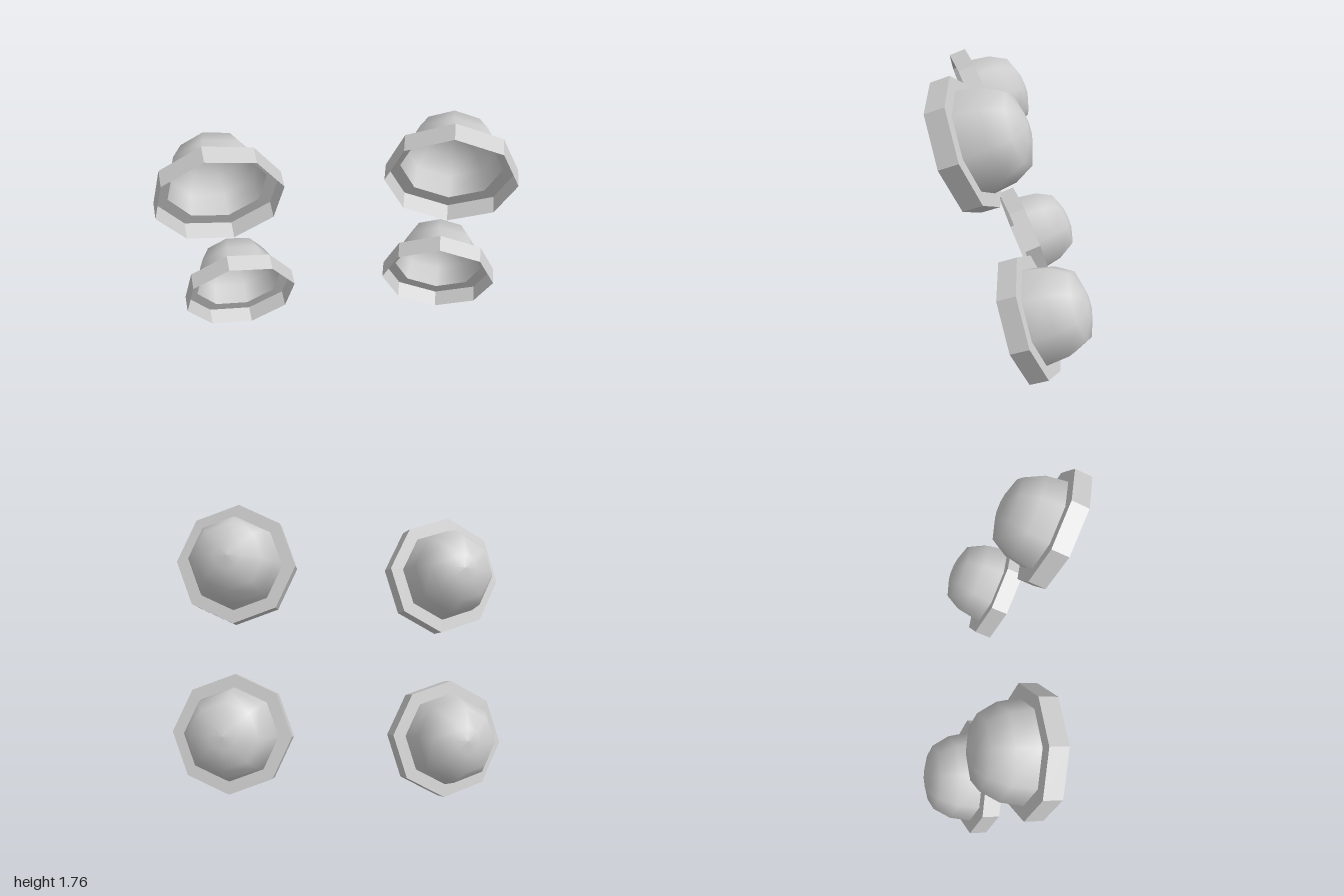
import * as THREE from 'three';

const SIDES = 8;
const HALF = 0.054; // half the depth of the rim

// Revolve [radius, depth] points round the z axis, depth growing towards the back
function revolve(points) {
  const profile = points.map(([r, d]) => new THREE.Vector2(r, d));
  return new THREE.LatheGeometry(profile, SIDES).rotateX(-Math.PI / 2);
}

export function createModel() {
  const model = new THREE.Group();
  model.name = 'lampCups';

  const smooth = new THREE.MeshStandardMaterial({ color: 0xcccccc, side: THREE.DoubleSide });
  const faceted = new THREE.MeshStandardMaterial({ color: 0xcccccc, side: THREE.DoubleSide, flatShading: true });

  // Octagonal wall, open at the front, with a flat flange at the back
  const rimGeometry = revolve([[0.359, -HALF], [0.359, HALF], [0.28, HALF]]).toNonIndexed();
  rimGeometry.computeVertexNormals();

  // Hollow rounded bowl behind the flange
  const bowlGeometry = revolve([
    [0.28, HALF], [0.257, HALF + 0.13], [0.197, HALF + 0.237], [0.08, HALF + 0.277], [0, HALF + 0.287],
  ]);

  // Position of the rim centre, then pitch, yaw and roll in degrees
  const cups = [
    ['upperLeftCup', [0.637, 1.415, 0.136], [20.5, 0, 1.5]],
    ['lowerLeftCup', [0.637, 0.452, -0.201], [20.5, 0, 1.5]],
    ['upperRightCup', [-0.614, 1.32, 0.335], [19.7, 21, 10.5]],
    ['lowerRightCup', [-0.644, 0.356, 0.017], [19.7, 21, 10.5]],
  ];

  for (const [name, position, angles] of cups) {
    const cup = new THREE.Group();
    cup.name = name;
    const rim = new THREE.Mesh(rimGeometry, faceted);
    rim.name = 'rim';
    const bowl = new THREE.Mesh(bowlGeometry, smooth);
    bowl.name = 'bowl';
    cup.add(rim, bowl);
    cup.position.set(...position);
    cup.rotation.set(...angles.map(THREE.MathUtils.degToRad), 'YXZ');
    model.add(cup);
  }
  return model;
}
